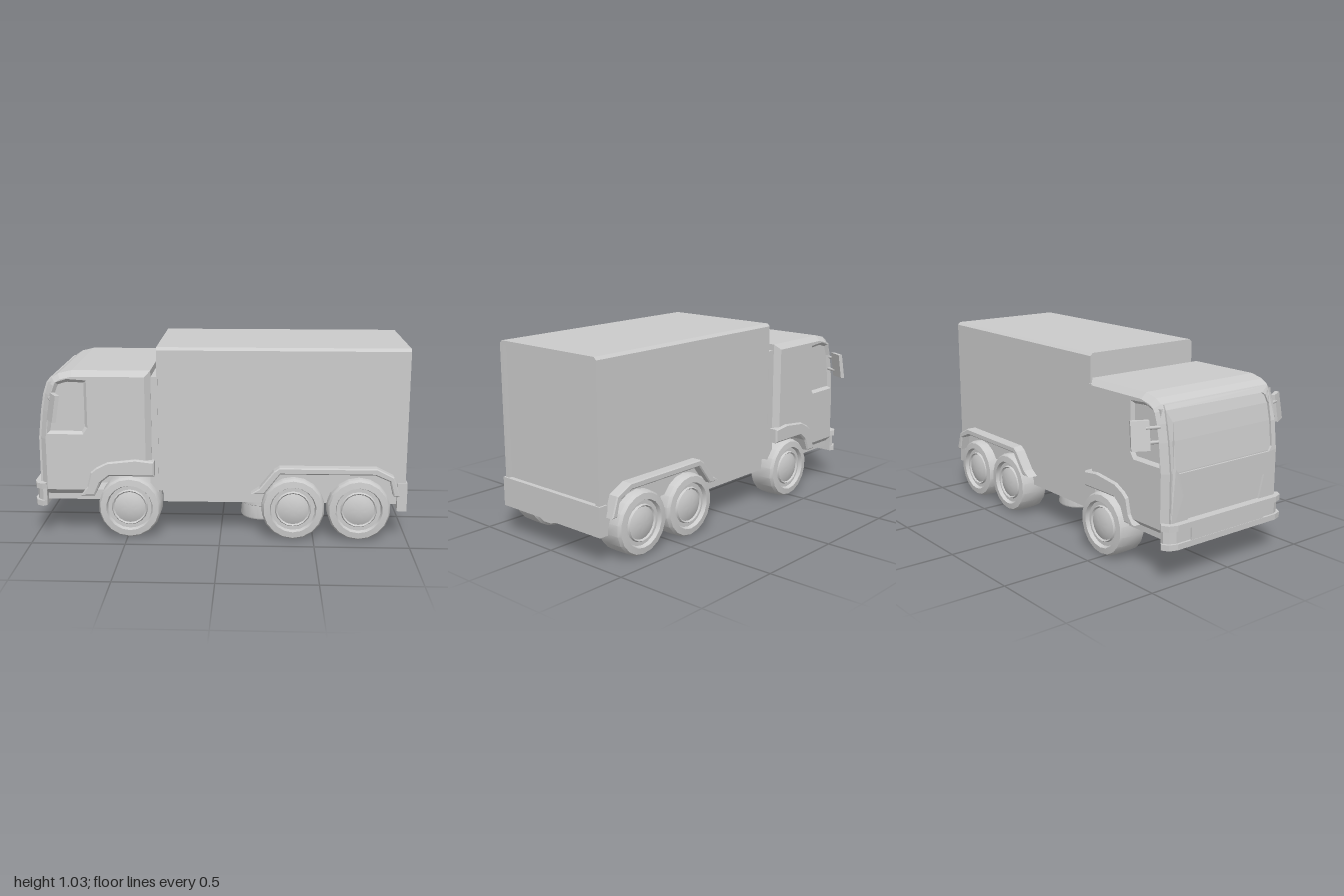
import * as THREE from 'three';
import { toCreasedNormals } from 'three/addons/utils/BufferGeometryUtils.js';

const material = new THREE.MeshStandardMaterial({ color: 0xcccccc });
const V2 = (p) => new THREE.Vector2(p[0], p[1]);

export function createModel() {
  const truck = new THREE.Group();
  truck.name = 'boxTruck';

  const add = (name, geo, x = 0, y = 0, z = 0, parent = truck) => {
    const m = new THREE.Mesh(geo, material);
    m.name = name;
    m.position.set(x, y, z);
    parent.add(m);
    return m;
  };
  // Box given by its limits on each axis
  const block = (name, x0, x1, y0, y1, z0, z1) =>
    add(name, new THREE.BoxGeometry(x1 - x0, y1 - y0, z1 - z0), (x0 + x1) / 2, (y0 + y1) / 2, (z0 + z1) / 2);
  // Flat outline pushed out by a depth, with an optional chamfer kept inside the outline
  const prism = (pts, depth, bevel = 0, holes = []) => {
    const s = new THREE.Shape(pts.map(V2));
    holes.forEach((h) => s.holes.push(new THREE.Path(h.map(V2))));
    return new THREE.ExtrudeGeometry(s, {
      depth: depth - 2 * bevel, bevelEnabled: bevel > 0, bevelSize: bevel,
      bevelThickness: bevel, bevelOffset: -bevel, bevelSegments: 1,
    }).translate(0, 0, bevel);
  };
  const turned = (pts, sides) => toCreasedNormals(new THREE.LatheGeometry(pts.map(V2), sides), 0.55);

  // Cargo box: chamfered section run along x, with a raised frame around the rear door
  const section = [[-0.35, 0.26], [0.35, 0.26], [0.35, 1.02], [0.335, 1.035], [-0.335, 1.035], [-0.35, 1.02]];
  const door = [[-0.325, 0.3], [-0.325, 1.01], [0.325, 1.01], [0.325, 0.3]];
  add('cargoBox', prism(section, 1.305).rotateY(Math.PI / 2), -0.335);
  add('rearDoorFrame', prism(section, 0.018, 0, [door]).rotateY(Math.PI / 2), 0.97);
  block('chassis', -0.31, 0.95, 0.19, 0.265, -0.33, 0.33);
  block('rearBumper', 0.945, 0.997, 0.16, 0.315, -0.36, 0.36);

  // Cab shell, chamfered all round, with window openings and wheel notch
  const cabSide = [
    [-0.955, 0.24], [-0.67, 0.24], [-0.62, 0.36], [-0.365, 0.36], [-0.365, 0.915], [-0.78, 0.915],
    [-0.85, 0.898], [-0.885, 0.875], [-0.903, 0.85], [-0.922, 0.79], [-0.938, 0.7], [-0.955, 0.55],
  ];
  const windowHole = [
    [-0.885, 0.605], [-0.875, 0.7], [-0.86, 0.78], [-0.84, 0.83], [-0.80, 0.843],
    [-0.73, 0.838], [-0.73, 0.62], [-0.74, 0.605],
  ];
  add('cab', prism(cabSide, 0.78, 0.03, [windowHole]), 0, 0, -0.39);
  block('sideWindowGlass', -0.9, -0.7, 0.58, 0.855, -0.374, 0.374);
  block('cabFloor', -0.945, -0.34, 0.205, 0.26, -0.37, 0.37).scale.z = 0.95;
  block('cabUndertray', -0.7, -0.34, 0.2, 0.38, -0.23, 0.23);
  block('cabBackPanel', -0.375, -0.33, 0.25, 0.88, -0.355, 0.355);

  // Front plate bent to the cab's nose, open over the windscreen and grille
  const nose = [[0.2, -0.966], [0.55, -0.966], [0.7, -0.949], [0.79, -0.933], [0.85, -0.914], [0.875, -0.895]];
  const noseX = (y) => {
    const i = Math.min(nose.length - 2, Math.max(0, nose.findIndex((n) => n[0] >= y) - 1));
    const [a, b] = [nose[i], nose[i + 1]];
    return a[1] + (b[1] - a[1]) * (y - a[0]) / (b[0] - a[0]);
  };
  const right = [[0.36, 0.23], [0.36, 0.55], [0.36, 0.7], [0.36, 0.79], [0.355, 0.85], [0.35, 0.872]];
  const mirrored = (half) => [...half, ...half.map(([z, y]) => [-z, y]).reverse()];
  const screen = mirrored([[0.31, 0.545], [0.33, 0.57], [0.33, 0.7], [0.325, 0.79], [0.315, 0.83], [0.295, 0.845]]);
  const grille = mirrored([[0.24, 0.28], [0.28, 0.43]]);
  const plate = prism(mirrored(right), 0.014, 0, [screen, grille]).rotateY(Math.PI / 2);
  const pos = plate.attributes.position;
  for (let i = 0; i < pos.count; i++) pos.setX(i, pos.getX(i) + noseX(pos.getY(i)));
  plate.computeVertexNormals();
  add('cabFrontPlate', plate);

  // Front bumper: three stacked layers, the middle one slightly set back
  const bumper = (inset) => mirrored([
    [0.39, -0.93], [0.405 - inset, -0.95], [0.385 - inset, -0.985 + inset], [0.34, -1 + inset],
  ]).map(([z, x]) => [x, z]);
  [[0.18, 0.21, 0], [0.21, 0.275, 0.012], [0.275, 0.305, 0]].forEach(([y0, y1, inset]) =>
    add('frontBumper', prism(bumper(inset), y1 - y0).rotateX(Math.PI / 2), 0, y1));
  block('bumperCentre', -0.998, -0.95, 0.21, 0.275, -0.25, 0.25);

  // Wheel profile: radius, distance from the middle line
  const wheelProfile = [
    [0, 0.225], [0.1, 0.225], [0.105, 0.24], [0.155, 0.24], [0.168, 0.255], [0.17, 0.3], [0.168, 0.385],
    [0.158, 0.402], [0.125, 0.406], [0.118, 0.385], [0.098, 0.385], [0.092, 0.395], [0.085, 0.387],
    [0.06, 0.397], [0.03, 0.402], [0, 0.404],
  ];
  const wheelGeo = turned(wheelProfile, 18).rotateX(Math.PI / 2);
  [['front', -0.485], ['middle', 0.39], ['rear', 0.74]].forEach(([name, x]) => {
    add(name + 'WheelLeft', wheelGeo, x, 0.174);
    add(name + 'WheelRight', wheelGeo, x, 0.174).rotation.y = Math.PI;
    add(name + 'Axle', new THREE.CylinderGeometry(0.047, 0.047, 0.48, 16).rotateX(Math.PI / 2), x, 0.174);
  });

  // Wheel arches and mirrors on both sides
  const frontArch = [
    [-0.745, 0.24], [-0.71, 0.29], [-0.69, 0.37], [-0.66, 0.395], [-0.6, 0.425], [-0.45, 0.442], [-0.35, 0.43],
    [-0.35, 0.35], [-0.59, 0.35], [-0.64, 0.31], [-0.67, 0.24],
  ];
  const rearArch = [
    [0.165, 0.26], [0.21, 0.29], [0.285, 0.385], [0.315, 0.405], [0.83, 0.405], [0.92, 0.36], [0.955, 0.255],
    [0.92, 0.255], [0.9, 0.335], [0.82, 0.37], [0.32, 0.37], [0.235, 0.26],
  ];
  for (const side of [1, -1]) {
    const label = side > 0 ? 'Left' : 'Right';
    const zFrom = (inner, outer) => (side > 0 ? inner : -outer);
    add('frontWheelArch' + label, prism(frontArch, 0.155, 0.008), 0, 0, zFrom(0.25, 0.405));
    add('rearWheelArch' + label, prism(rearArch, 0.075, 0.006), 0, 0, zFrom(0.33, 0.405));

    const mirror = new THREE.Group();
    mirror.name = 'mirror' + label;
    truck.add(mirror);
    const head = new THREE.BoxGeometry(0.092, 0.14, 0.022).rotateY(-side * 1.08);
    const p = head.attributes.position;
    for (let i = 0; i < p.count; i++) {
      const y = p.getY(i);
      p.setX(i, p.getX(i) + 0.15 * y);
      p.setZ(i, p.getZ(i) - side * 0.06 * y);
    }
    head.computeVertexNormals();
    add('mirrorHead', head, -0.862, 0.737, side * 0.467, mirror);
    for (const y of [0.7, 0.771]) {
      const arm = new THREE.LineCurve3(new THREE.Vector3(-0.9, y, side * 0.375), new THREE.Vector3(-0.875, y, side * 0.445));
      add('mirrorArm', new THREE.TubeGeometry(arm, 1, 0.009, 6), 0, 0, 0, mirror);
    }
  }

  // Drum slung under the chassis
  add('underDrum', turned([
    [0, 0.018], [0.122, 0.018], [0.125, 0.025], [0.118, 0.095], [0.122, 0.098], [0.122, 0.125], [0.117, 0.13], [0.117, 0.2],
  ], 24), 0.23);

  return truck;
}
